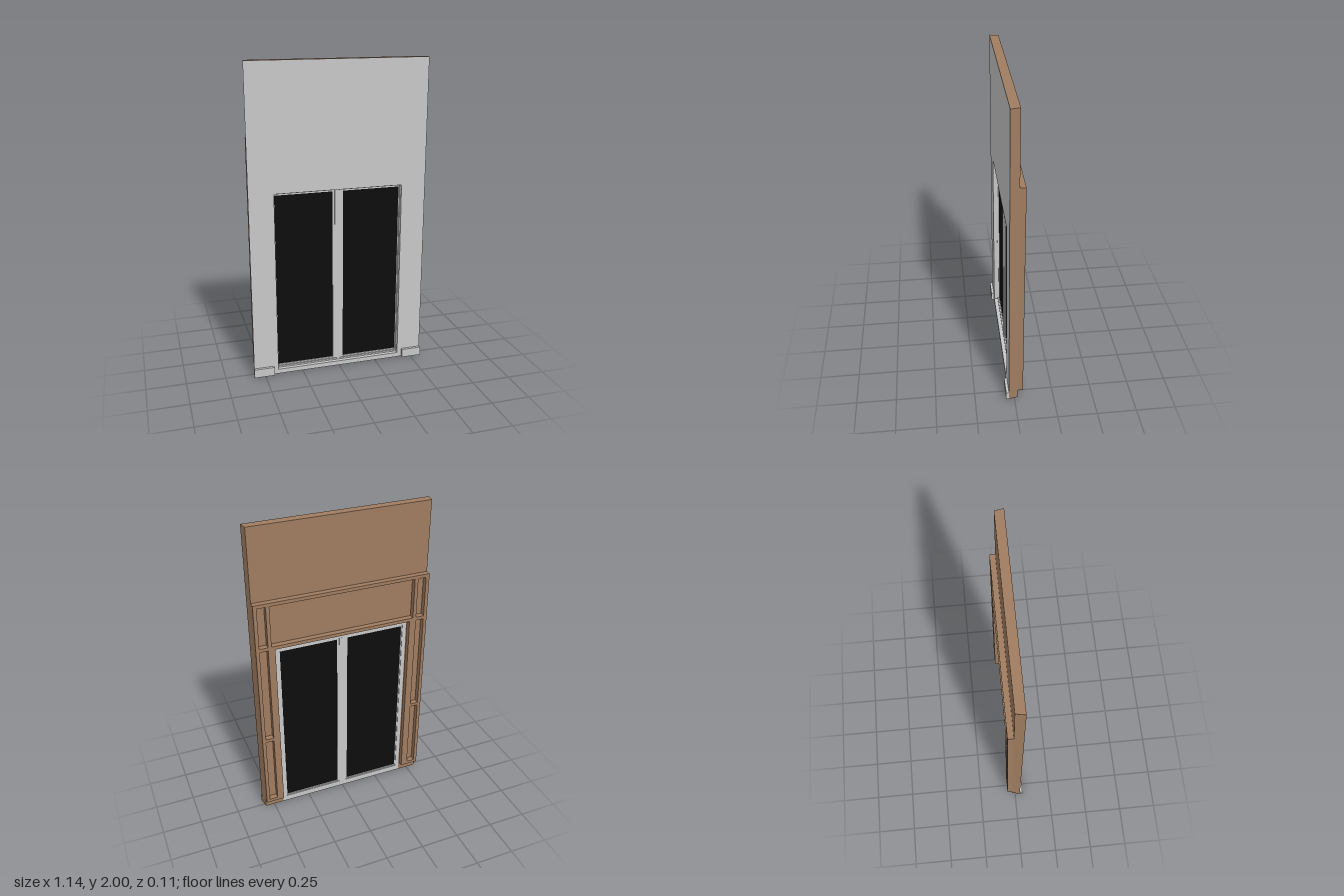
import * as THREE from 'three';

const grey = new THREE.MeshStandardMaterial({ color: 0xc8c8c8 });
grey.name = 'light grey';
const wood = new THREE.MeshStandardMaterial({ color: 0xa07d60 });
wood.name = 'wood brown';
const black = new THREE.MeshStandardMaterial({ color: 0x0d0d0d });
black.name = 'black glass';

const BACK = -0.02, MID = 0.01, FRONT = 0.035;

// Box given by its limits on each axis
function box(parent, name, mat, x0, x1, y0, y1, z0, z1) {
  const mesh = new THREE.Mesh(new THREE.BoxGeometry(x1 - x0, y1 - y0, z1 - z0), mat);
  mesh.position.set((x0 + x1) / 2, (y0 + y1) / 2, (z0 + z1) / 2);
  mesh.name = name;
  parent.add(mesh);
}

// Same box on both sides of x = 0
function pair(parent, name, mat, x0, x1, ...rest) {
  box(parent, name + 'Left', mat, x0, x1, ...rest);
  box(parent, name + 'Right', mat, -x1, -x0, ...rest);
}

// Wall outline with a doorway open at the bottom
function wallShape(half, top) {
  const s = new THREE.Shape();
  s.moveTo(-0.57, 0).lineTo(-half, 0).lineTo(-half, top).lineTo(half, top).lineTo(half, 0);
  s.lineTo(0.57, 0).lineTo(0.57, 2).lineTo(-0.57, 2).closePath();
  return s;
}

// Wall layer whose outer ends narrow towards the back
function wallLayer(name, half, top, z0, z1) {
  const geo = new THREE.ExtrudeGeometry(wallShape(half, top), { depth: z1 - z0, bevelEnabled: false });
  geo.translate(0, 0, z0);
  const p = geo.attributes.position;
  for (let i = 0; i < p.count; i++) {
    if (Math.abs(p.getX(i)) < 0.5) continue;
    const edge = 0.56 + 0.01 * (p.getZ(i) - BACK) / (FRONT - BACK);
    p.setX(i, Math.sign(p.getX(i)) * edge);
  }
  geo.computeVertexNormals();
  const mesh = new THREE.Mesh(geo, wood);
  mesh.name = name;
  return mesh;
}

function createWall() {
  const g = new THREE.Group();
  g.name = 'wall';
  g.add(wallLayer('wallBackLayer', 0.435, 1.23, BACK, MID));
  g.add(wallLayer('wallFrontLayer', 0.413, 1.21, MID, FRONT));
  const facing = new THREE.Mesh(new THREE.ShapeGeometry(wallShape(0.413, 1.21)), grey);
  facing.position.z = FRONT + 0.0005;
  facing.name = 'wallFacing';
  g.add(facing);
  // Grey lining of the doorway
  pair(g, 'revealLining', grey, 0.411, 0.413, 0.03, 1.21, MID, FRONT);
  box(g, 'revealLiningTop', grey, -0.413, 0.413, 1.208, 1.21, MID, FRONT);
  // Plinth blocks at the foot of the wall
  pair(g, 'plinthBlock', grey, 0.44, 0.572, 0, 0.057, FRONT, 0.053);
  return g;
}

function createDoor() {
  const g = new THREE.Group();
  g.name = 'door';
  box(g, 'sill', grey, -0.413, 0.413, 0, 0.03, MID, FRONT + 0.0005);
  box(g, 'frameBottom', grey, -0.435, 0.435, 0, 0.04, BACK, MID);
  box(g, 'frameTop', grey, -0.435, 0.435, 1.2, 1.23, BACK, MID);
  pair(g, 'frameSide', grey, 0.41, 0.435, 0.04, 1.2, BACK, MID);
  pair(g, 'meetingStile', grey, 0.008, 0.02, 0.04, 1.2, BACK, MID - 0.004);
  box(g, 'centreCover', grey, -0.008, 0.008, 0.04, 1.2, BACK - 0.002, MID + 0.003);
  // Beads and glass of both leaves
  pair(g, 'beadInner', grey, 0.02, 0.034, 0.04, 1.2, -0.016, 0.001);
  pair(g, 'beadOuter', grey, 0.404, 0.41, 0.04, 1.2, -0.016, 0.001);
  pair(g, 'beadBottom', grey, 0.034, 0.404, 0.04, 0.05, -0.016, 0.001);
  pair(g, 'beadTop', grey, 0.034, 0.404, 1.19, 1.2, -0.016, 0.001);
  pair(g, 'glass', black, 0.034, 0.404, 0.05, 1.19, -0.011, -0.004);
  return g;
}

function createStudFrame() {
  const g = new THREE.Group();
  g.name = 'studFrame';
  const t = 0.022, y0 = 0.06, y1 = 1.545, z = [-0.055, BACK];
  box(g, 'topRail', wood, -0.56, 0.56, y1 - t, y1, ...z);
  box(g, 'headerRail', wood, -0.463, 0.463, 1.235, 1.235 + t, ...z);
  pair(g, 'outerStud', wood, 0.56 - t, 0.56, y0, y1 - t, ...z);
  pair(g, 'kingStud', wood, 0.463, 0.463 + t, y0, y1 - t, ...z);
  pair(g, 'jackStud', wood, 0.441, 0.463, y0, 1.235, ...z);
  // Short cross rails in the side bays
  for (const y of [y0, 0.565, 1.235]) {
    pair(g, 'crossRail', wood, 0.485, 0.56 - t, y, y + t, ...z);
  }
  return g;
}

export function createModel() {
  const model = new THREE.Group();
  model.name = 'doorWallPanel';
  model.add(createWall(), createDoor(), createStudFrame());
  return model;
}
